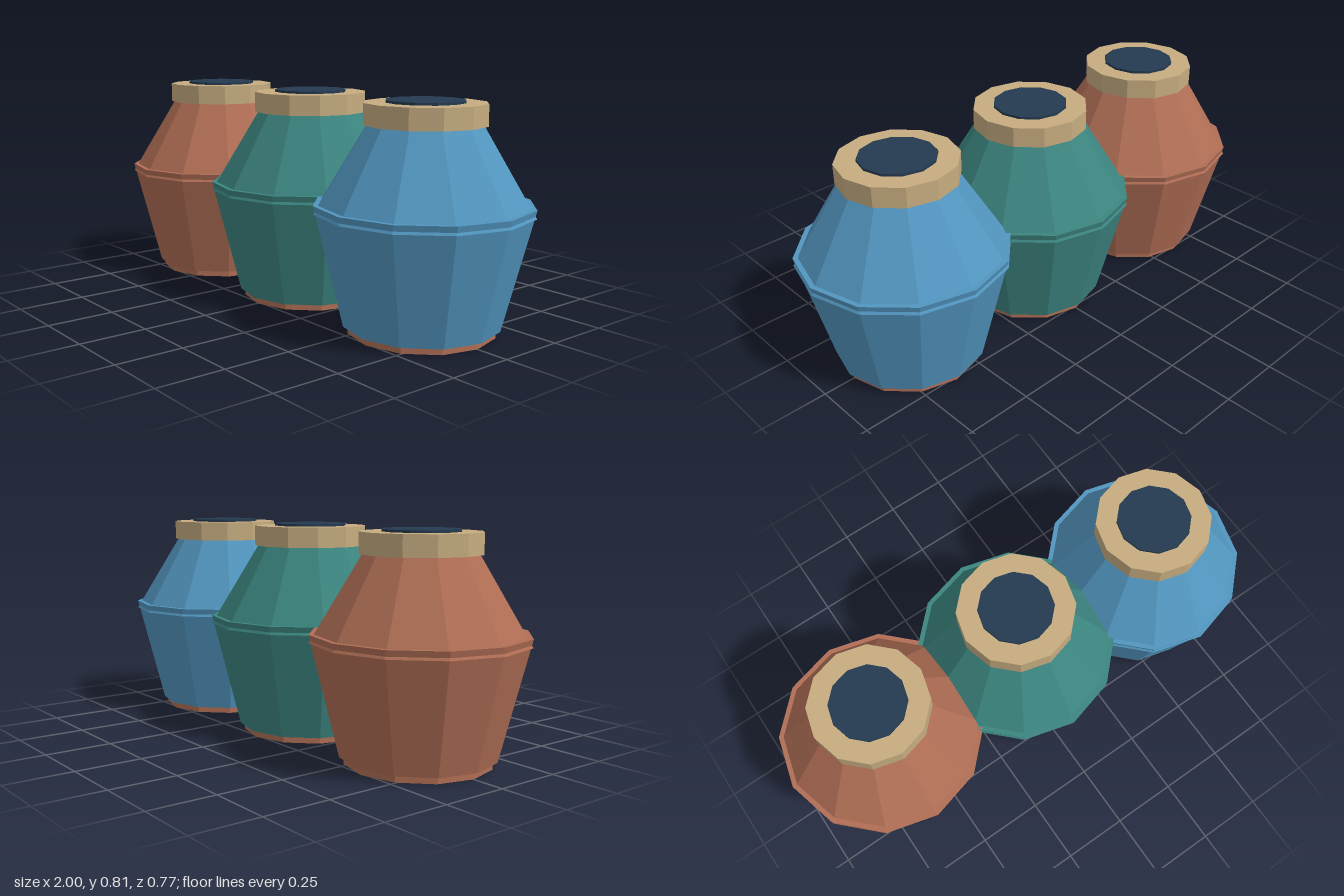
import * as THREE from 'three';

const SIDES = 12;
const SPACING = 0.615;

function material(name, color) {
  const m = new THREE.MeshStandardMaterial({ color, flatShading: true });
  m.name = name;
  return m;
}

// Twelve-sided frustum spanning y0..y1
function frustum(name, rBottom, rTop, y0, y1, mat) {
  const geometry = new THREE.CylinderGeometry(rTop, rBottom, y1 - y0, SIDES);
  const mesh = new THREE.Mesh(geometry, mat);
  mesh.name = name;
  mesh.position.y = (y0 + y1) / 2;
  return mesh;
}

export function createModel() {
  const terracotta = material('terracotta', 0xb06e55);
  const teal = material('teal', 0x3c8580);
  const blue = material('blue', 0x5296c0);
  const tan = material('tan', 0xc6ac80);
  const navy = material('navy', 0x243a50);

  const model = new THREE.Group();
  model.name = 'jarRow';

  [['terracottaJar', terracotta], ['tealJar', teal], ['blueJar', blue]].forEach(([name, glaze], i) => {
    const jar = new THREE.Group();
    jar.name = name;
    jar.position.x = (i - 1) * SPACING;
    jar.add(
      frustum('foot', 0.262, 0.262, 0, 0.025, terracotta),
      // Body and shoulder overlap, leaving a grooved rim at the widest point
      frustum('body', 0.278, 0.385, 0.025, 0.455, glaze),
      frustum('shoulder', 0.385, 0.2, 0.425, 0.73, glaze),
      frustum('collar', 0.215, 0.215, 0.725, 0.8, tan),
      frustum('opening', 0.138, 0.138, 0.8, 0.809, navy),
    );
    model.add(jar);
  });

  return model;
}
